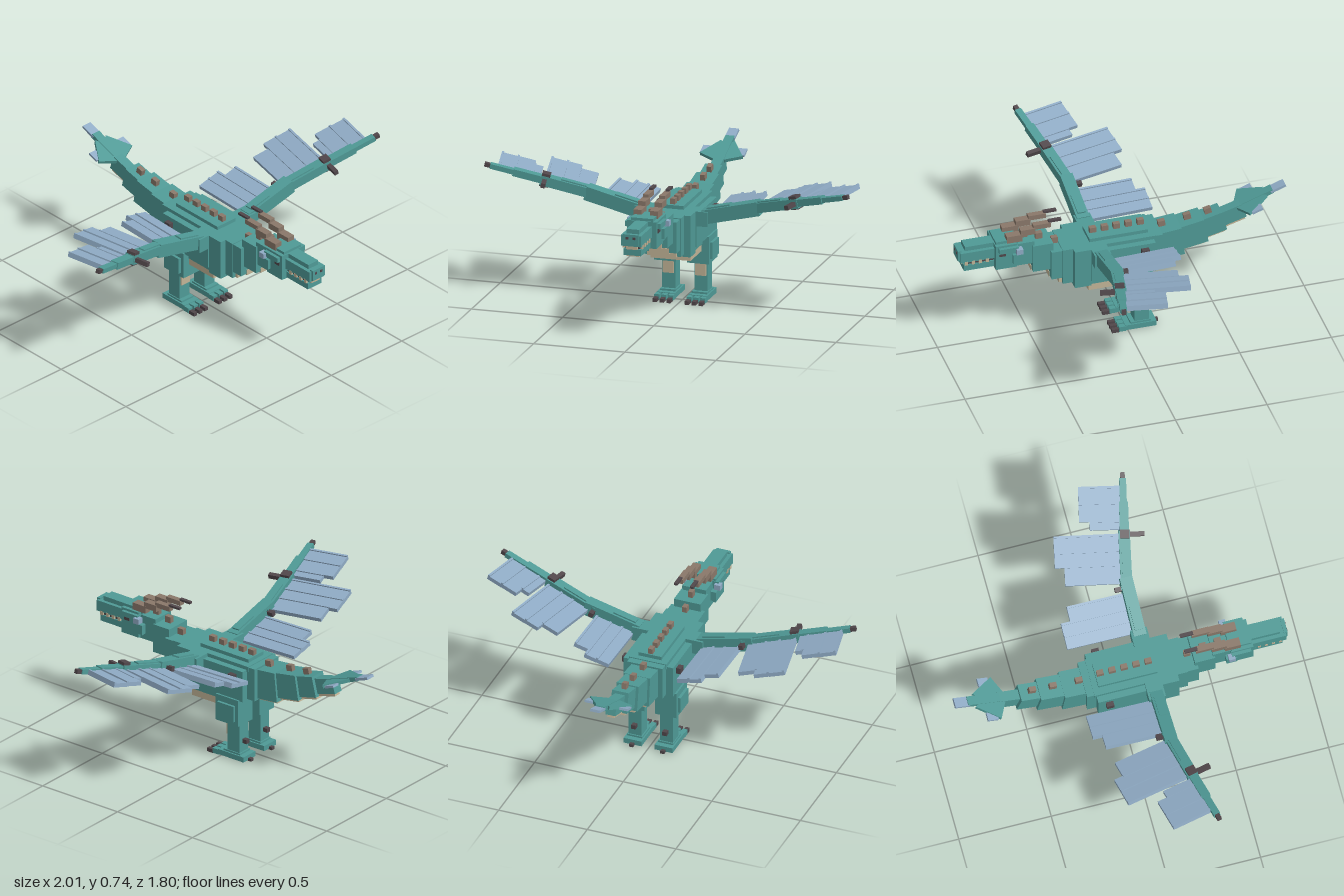
import * as THREE from 'three';

const mat = (name, color) => {
  const m = new THREE.MeshStandardMaterial({ color });
  m.name = name;
  return m;
};

export function createModel() {
  const teal = mat('teal scales', 0x4f9a96);
  const blue = mat('wing blue', 0x8fabc5);
  const tan = mat('belly tan', 0xc2b497);
  const brown = mat('horn brown', 0x8a786a);
  const dark = mat('claw dark', 0x51474b);

  const model = new THREE.Group();
  model.name = 'wingedBeast';

  const group = (name, parent = model) => {
    const g = new THREE.Group();
    g.name = name;
    parent.add(g);
    return g;
  };
  const box = (parent, name, material, size, pos, rot = [0, 0, 0]) => {
    const mesh = new THREE.Mesh(new THREE.BoxGeometry(...size), material);
    mesh.name = name;
    mesh.position.set(...pos);
    mesh.rotation.set(...rot);
    parent.add(mesh);
    return mesh;
  };
  // box on the centre line: half width, y range, z range
  const mid = (parent, name, material, hw, y0, y1, z0, z1) =>
    box(parent, name, material, [hw * 2, y1 - y0, z1 - z0], [0, (y0 + y1) / 2, (z0 + z1) / 2]);
  // box given by x, y and z ranges, mirrored by s
  const side = (parent, name, material, s, x0, x1, y0, y1, z0, z1) =>
    box(parent, name, material, [x1 - x0, y1 - y0, z1 - z0], [s * (x0 + x1) / 2, (y0 + y1) / 2, (z0 + z1) / 2]);

  // torso
  const body = group('body');
  mid(body, 'torso', teal, 0.14, 0.355, 0.53, -0.15, 0.2);
  mid(body, 'hips', teal, 0.1, 0.36, 0.545, -0.2, -0.14);
  mid(body, 'chest', teal, 0.135, 0.325, 0.55, 0.2, 0.29);
  mid(body, 'chestFront', teal, 0.1, 0.34, 0.55, 0.28, 0.345);
  mid(body, 'backPlate', teal, 0.105, 0.52, 0.55, -0.16, 0.28);
  mid(body, 'backRidge', teal, 0.065, 0.54, 0.57, -0.13, 0.19);
  mid(body, 'underBody', teal, 0.115, 0.32, 0.36, -0.13, 0.22);
  mid(body, 'bellyPlate', tan, 0.11, 0.28, 0.325, 0.01, 0.21);
  mid(body, 'chestPlate', tan, 0.08, 0.34, 0.535, 0.325, 0.362);
  for (let i = 0; i < 5; i++) {
    const z = -0.105 + i * 0.065;
    mid(body, 'backSpike', brown, 0.013, 0.565, 0.6, z - 0.018, z + 0.018);
  }

  // neck
  const neck = group('neck');
  mid(neck, 'neckBase', teal, 0.095, 0.376, 0.545, 0.27, 0.405);
  mid(neck, 'neckMiddle', teal, 0.075, 0.43, 0.59, 0.39, 0.5);
  mid(neck, 'neckTop', teal, 0.065, 0.48, 0.615, 0.49, 0.605);
  mid(neck, 'throatPlate', tan, 0.055, 0.368, 0.4, 0.365, 0.408);
  mid(neck, 'throatPlate', tan, 0.045, 0.423, 0.45, 0.42, 0.504);
  for (const [z, y] of [[0.365, 0.545], [0.45, 0.59], [0.53, 0.615]])
    mid(neck, 'neckSpike', brown, 0.013, y - 0.01, y + 0.035, z - 0.018, z + 0.018);

  // head
  const head = group('head');
  mid(head, 'skull', teal, 0.08, 0.485, 0.63, 0.59, 0.705);
  mid(head, 'crown', teal, 0.06, 0.61, 0.645, 0.58, 0.7);
  mid(head, 'snout', teal, 0.055, 0.545, 0.605, 0.7, 0.89);
  mid(head, 'snoutRidge', teal, 0.035, 0.6, 0.63, 0.7, 0.86);
  mid(head, 'snoutTip', teal, 0.04, 0.55, 0.612, 0.88, 0.9);
  mid(head, 'mouth', dark, 0.04, 0.52, 0.55, 0.7, 0.86);
  mid(head, 'jaw', teal, 0.048, 0.49, 0.525, 0.69, 0.87);
  mid(head, 'chin', tan, 0.035, 0.482, 0.492, 0.72, 0.86);
  mid(head, 'frontTeeth', tan, 0.03, 0.525, 0.548, 0.868, 0.88);
  for (const s of [-1, 1]) {
    side(head, 'cheek', teal, s, 0.06, 0.095, 0.515, 0.57, 0.555, 0.615);
    side(head, 'brow', teal, s, 0.045, 0.098, 0.59, 0.618, 0.585, 0.69);
    side(head, 'ear', blue, s, 0.08, 0.115, 0.58, 0.61, 0.565, 0.6);
    side(head, 'eye', dark, s, 0.079, 0.084, 0.565, 0.59, 0.65, 0.685);
    side(head, 'nostril', dark, s, 0.012, 0.026, 0.585, 0.598, 0.897, 0.903);
    for (let i = 0; i < 4; i++)
      side(head, 'tooth', tan, s, 0.044, 0.056, 0.528, 0.55, 0.735 + i * 0.038, 0.752 + i * 0.038);
    // stepped horn sweeping backwards
    [[0.555, 0.64, 0.63, 0.67, 0.022], [0.485, 0.565, 0.66, 0.695, 0.02],
      [0.4, 0.495, 0.685, 0.712, 0.016]].forEach(([z0, z1, y0, y1, w]) =>
      side(head, 'horn', brown, s, 0.045 - w, 0.045 + w, y0, y1, z0, z1));
    side(head, 'hornTip', dark, s, 0.035, 0.055, 0.71, 0.722, 0.34, 0.41);
  }

  // tail: half width, height, length, centre y, centre z, tilt
  const tail = group('tail');
  [[0.075, 0.165, 0.18, 0.455, -0.23, 0.1], [0.062, 0.14, 0.15, 0.484, -0.375, 0.17],
    [0.047, 0.115, 0.13, 0.512, -0.49, 0.24], [0.028, 0.085, 0.13, 0.542, -0.605, 0.28]]
    .forEach(([hw, h, l, y, z, tilt], i) => {
      const seg = group('tailSegment', tail);
      seg.position.set(0, y, z);
      seg.rotation.x = tilt;
      box(seg, 'tailBone', teal, [hw * 2, h, l], [0, 0, 0]);
      box(seg, 'tailUnderPlate', tan, [hw * 1.4, 0.018, l * 0.85], [0, -h / 2 - 0.006, 0]);
      if (i < 3) box(seg, 'tailSpike', brown, [0.026, 0.035, 0.038], [0, h / 2 + 0.015, 0]);
    });
  // flat tail blade, leaning upwards
  const blade = group('tailBlade', tail);
  blade.position.set(0, 0.57, -0.63);
  blade.rotation.x = 0.34;
  const outline = [[0, 0], [0.03, 0], [0.118, 0.045], [0.038, 0.17], [0, 0.13],
    [-0.038, 0.17], [-0.118, 0.045], [-0.03, 0]];
  const bladeGeo = new THREE.ExtrudeGeometry(
    new THREE.Shape(outline.map(p => new THREE.Vector2(...p))), { depth: 0.018, bevelEnabled: false });
  bladeGeo.rotateX(-Math.PI / 2);
  const fin = new THREE.Mesh(bladeGeo, teal);
  fin.name = 'bladeFin';
  blade.add(fin);
  box(blade, 'bladeStem', teal, [0.05, 0.024, 0.22], [0, 0.009, -0.1]);
  box(blade, 'bladeTip', blue, [0.054, 0.014, 0.085], [0, 0.009, -0.24]);
  for (const s of [-1, 1])
    box(blade, 'bladeBarb', blue, [0.045, 0.012, 0.06], [s * 0.098, 0.006, -0.09]);

  // legs
  for (const s of [-1, 1]) {
    const leg = group(s > 0 ? 'leftLeg' : 'rightLeg');
    side(leg, 'thigh', teal, s, 0.03, 0.15, 0.21, 0.36, -0.13, 0.02);
    side(leg, 'thighPlate', teal, s, 0.145, 0.165, 0.235, 0.325, -0.11, 0);
    side(leg, 'shin', teal, s, 0.052, 0.125, 0.03, 0.22, -0.118, -0.038);
    side(leg, 'shinPlate', tan, s, 0.058, 0.118, 0.13, 0.215, -0.04, -0.028);
    side(leg, 'heelSpur', dark, s, 0.075, 0.1, 0.095, 0.118, -0.145, -0.11);
    side(leg, 'ankle', teal, s, 0.045, 0.13, 0.03, 0.045, -0.125, -0.015);
    side(leg, 'foot', teal, s, 0.037, 0.138, 0.006, 0.035, -0.155, 0.015);
    side(leg, 'heelClaw', dark, s, 0.077, 0.099, 0.002, 0.018, -0.175, -0.15);
    for (const x of [0.05, 0.088, 0.126]) {
      side(leg, 'toe', teal, s, x - 0.014, x + 0.014, 0.004, 0.032, 0.01, 0.05);
      side(leg, 'toeClaw', dark, s, x - 0.011, x + 0.011, 0, 0.02, 0.045, 0.088);
    }
    side(body, 'hipSpike', dark, s, 0.138, 0.166, 0.475, 0.508, -0.11, -0.07);
  }

  // wings: three arm sections, each with its own bent frame and feather-like panels
  for (const s of [-1, 1]) {
    const wing = group(s > 0 ? 'leftWing' : 'rightWing');
    const section = (name, pos, roll, yaw) => {
      const g = group(name, wing);
      g.position.set(s * pos[0], pos[1], pos[2]);
      g.rotation.set(0.03, -s * yaw, s * roll, 'YXZ');
      return g;
    };
    // panel strip: x range, back edge z, front edge z
    const panel = (g, y, x0, x1, zb, zf) => {
      side(g, 'wingPanel', blue, s, x0, x1, y - 0.011, y + 0.011, zb, zf);
      side(g, 'panelRib', blue, s, x1 - 0.012, x1, y + 0.011, y + 0.017, zb, zf);
    };

    side(wing, 'shoulder', teal, s, 0.1, 0.2, 0.47, 0.55, 0.11, 0.2);
    const upper = section('upperArm', [0.14, 0.51, 0.155], 0.24, 0);
    side(upper, 'upperArmBone', teal, s, 0.03, 0.345, -0.038, 0.038, -0.034, 0.034);
    side(upper, 'upperArmPlate', teal, s, 0.06, 0.19, 0.03, 0.046, -0.022, 0.022);
    side(upper, 'elbowSpur', dark, s, 0.28, 0.305, -0.01, 0.015, -0.07, -0.03);
    panel(upper, -0.022, 0.05, 0.125, -0.385, -0.02);
    panel(upper, -0.024, 0.12, 0.19, -0.385, -0.02);
    panel(upper, -0.022, 0.185, 0.27, -0.335, -0.02);

    const fore = section('foreArm', [0.44, 0.587, 0.155], 0.245, 0.2);
    side(fore, 'foreArmBone', teal, s, -0.03, 0.285, -0.026, 0.026, -0.03, 0.03);
    side(fore, 'foreArmPlate', teal, s, 0.02, 0.18, 0.02, 0.033, -0.018, 0.018);
    panel(fore, -0.01, 0.005, 0.11, -0.32, -0.015);
    panel(fore, -0.008, 0.1, 0.185, -0.37, -0.015);
    panel(fore, -0.01, 0.18, 0.268, -0.37, -0.015);

    const hand = section('hand', [0.69, 0.652, 0.21], 0.24, 0.215);
    side(hand, 'wrist', dark, s, -0.025, 0.02, -0.032, 0.04, -0.025, 0.025);
    side(hand, 'thumbClaw', dark, s, -0.012, 0.012, -0.012, 0.012, 0.02, 0.105);
    side(hand, 'handBone', teal, s, 0, 0.17, -0.018, 0.02, -0.024, 0.024);
    side(hand, 'fingerBone', teal, s, 0.16, 0.295, -0.012, 0.014, -0.018, 0.018);
    side(hand, 'fingerClaw', dark, s, 0.285, 0.325, -0.01, 0.012, -0.012, 0.012);
    panel(hand, -0.004, 0.025, 0.075, -0.18, -0.01);
    panel(hand, -0.002, 0.07, 0.17, -0.235, -0.01);
    panel(hand, -0.004, 0.165, 0.255, -0.235, -0.01);
  }

  return model;
}
